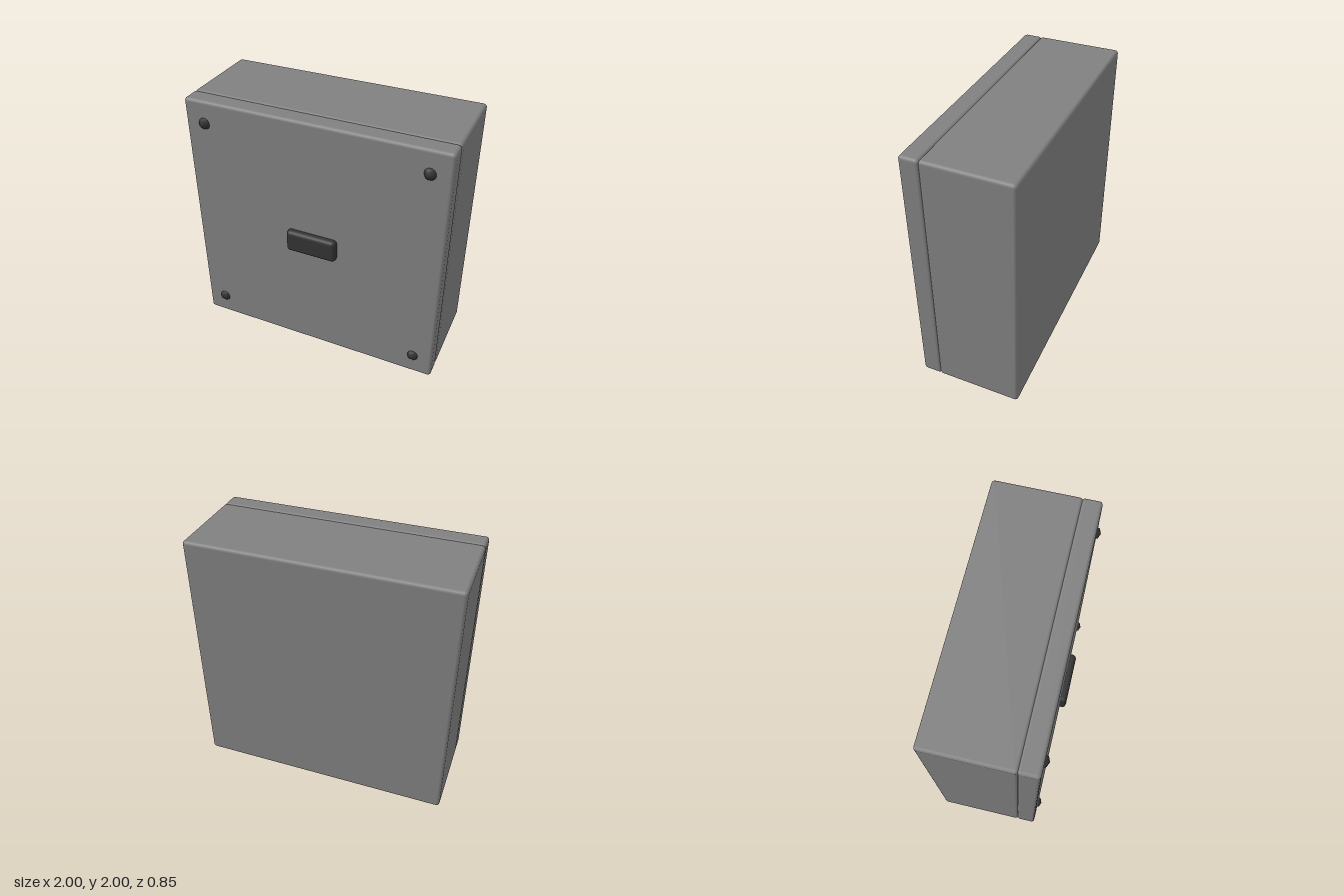
import * as THREE from 'three';
import { RoundedBoxGeometry } from 'three/addons/geometries/RoundedBoxGeometry.js';

export function createModel() {
  const group = new THREE.Group();
  const shell = new THREE.MeshStandardMaterial({ color: 0x808080 });
  const dark = new THREE.MeshStandardMaterial({ color: 0x333333 });

  // Softly bevelled block spanning z0..z1, centred on x = 0 and y = 1
  function block(name, w, h, z0, z1, radius, segments, material) {
    const mesh = new THREE.Mesh(new RoundedBoxGeometry(w, h, z1 - z0, segments, radius), material);
    mesh.position.set(0, 1, (z0 + z1) / 2);
    mesh.name = name;
    group.add(mesh);
  }

  // Deep housing and the lid in front of it, with a bevelled seam between
  block('housing', 2, 2, -0.425, 0.235, 0.025, 2, shell);
  block('lid', 2, 2, 0.225, 0.375, 0.025, 2, shell);

  // Central handle, partly sunk into the lid
  block('handle', 0.4, 0.18, 0.325, 0.425, 0.03, 2, dark);

  // Faceted domed screw heads near the lid corners
  const screwGeometry = new THREE.SphereGeometry(0.05, 8, 8);
  screwGeometry.rotateZ(Math.PI / 8);
  for (const x of [-0.845, 0.845]) {
    for (const y of [0.175, 1.825]) {
      const screw = new THREE.Mesh(screwGeometry, dark);
      screw.position.set(x, y, 0.355);
      screw.name = 'screw';
      group.add(screw);
    }
  }
  return group;
}
